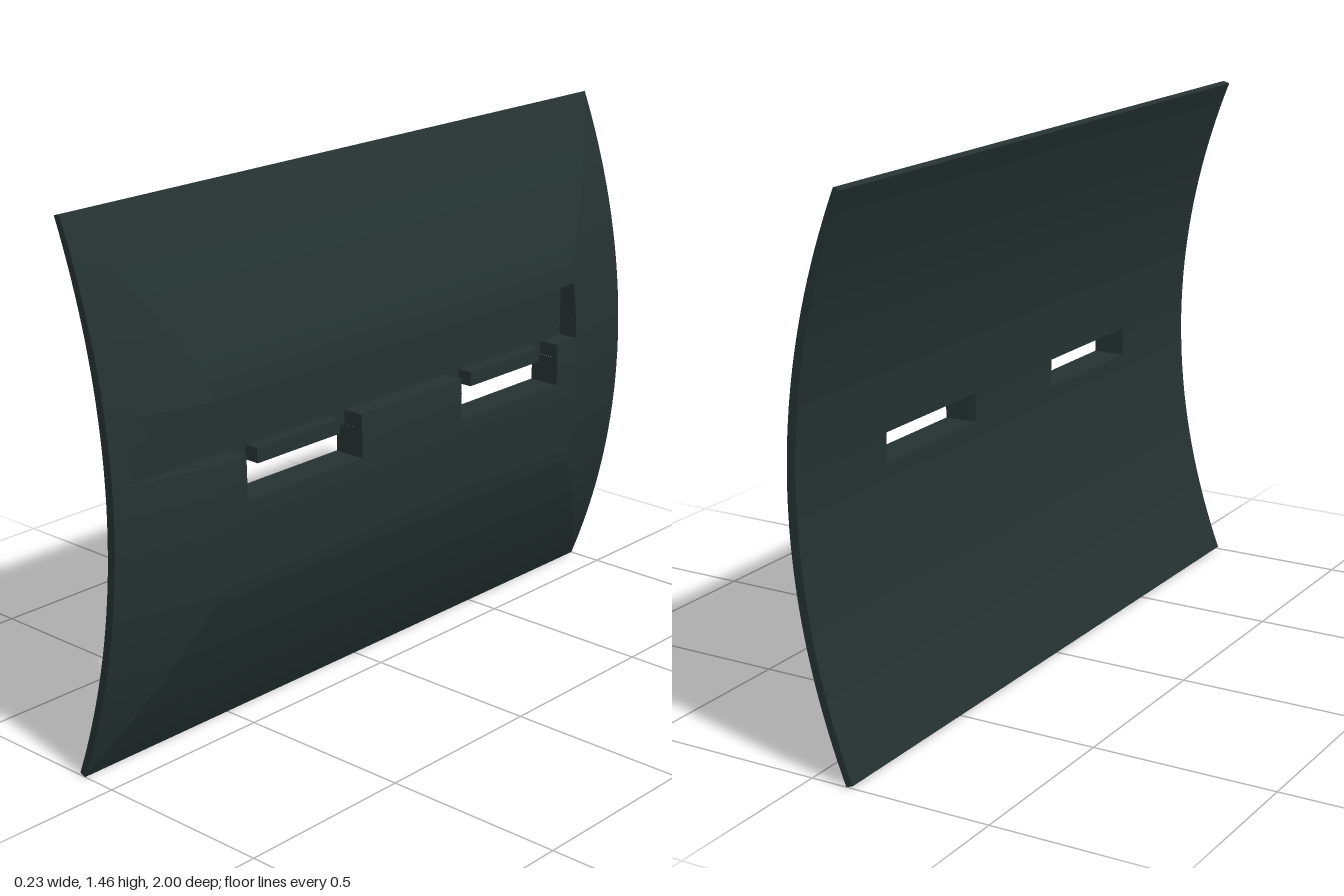
import * as THREE from 'three';
import { toCreasedNormals } from 'three/addons/utils/BufferGeometryUtils.js';

const H = 1.455, MID = H / 2;          // plate height and its middle
const BORDER_Y = 0.435, BORDER_Z = 0.29; // widths of the sloping border
const BULGE = 0.066, FLOOR = 0.053;    // raised thickness, depth of the slot floor
const STEPS = 12;

// Bowed outer skin: a curved rim level plus a bevelled raised field
function outerX(y, z) {
  const t = (y - MID) / MID;
  const rise = Math.min(1, (1 - Math.abs(z)) / BORDER_Z, Math.min(y, H - y) / BORDER_Y);
  return 0.05 - 0.15 * t * t + BULGE * rise;
}

function innerPoint(y, z) {
  const t = (y - MID) / MID;
  return new THREE.Vector3(0.025 - 0.143 * t * t, MID + (y - MID) * 0.992, z);
}

// Kind of plate at a cell centre: open, recess or solid
function kindAt(y, z) {
  const az = Math.abs(z);
  if (y < 0 || y > H || az > 1) return 'open';
  const window = az > 0.2 && az < 0.62;
  if (window && y > 0.69 && y < 0.77) return 'open';
  if (window && y > 0.77 && y < 0.81) return 'recess';
  if (z > -0.71 && y > 0.81 && y < 0.97) return 'recess';
  return 'solid';
}

function surfacePoint(kind, y, z) {
  if (kind === 'open') return innerPoint(y, z);
  const x = outerX(y, z);
  return new THREE.Vector3(kind === 'recess' ? Math.min(x, FLOOR) : x, y, z);
}

function plateGeometry() {
  // Grid lines follow the bevels, the slot and the windows
  const ys = [], zs = [];
  for (let i = 0; i < STEPS; i++) {
    ys.push(BORDER_Y * i / STEPS, H - BORDER_Y * i / STEPS);
    zs.push(-1 + BORDER_Z * i / STEPS, 1 - BORDER_Z * i / STEPS);
  }
  ys.push(BORDER_Y, 0.48, 0.53, 0.58, 0.63, 0.69, 0.73, 0.77, 0.81, 0.85, 0.89, 0.93, 0.97, H - BORDER_Y);
  zs.push(-0.71, -0.62, -0.2, 0.2, 0.62, 0.71);
  ys.sort((a, b) => a - b);
  zs.sort((a, b) => a - b);

  const positions = [];
  const tri = (a, b, c) => {
    const area = b.clone().sub(a).cross(c.clone().sub(a)).length();
    if (area > 1e-8) for (const p of [a, b, c]) positions.push(p.x, p.y, p.z);
  };
  const quad = (a, b, c, d) => { tri(a, b, c); tri(a, c, d); };
  const mid = (list, i) => {
    if (i < 0) return list[0] - 1;
    if (i >= list.length - 1) return list[list.length - 1] + 1;
    return (list[i] + list[i + 1]) / 2;
  };
  const kind = (i, j) => kindAt(mid(ys, i), mid(zs, j));

  for (let i = 0; i < ys.length; i++) {
    for (let j = 0; j < zs.length; j++) {
      const y0 = ys[i], y1 = ys[i + 1], z0 = zs[j], z1 = zs[j + 1];
      const k = kind(i, j);
      // Outer and inner skins, with diagonals along the mitred corners
      if (k !== 'open') {
        const corners = [[y0, z1], [y0, z0], [y1, z0], [y1, z1]];
        if ((mid(ys, i) - MID) * mid(zs, j) > 0) corners.push(corners.shift());
        quad(...corners.map(([y, z]) => surfacePoint(k, y, z)));
        quad(...corners.map(([y, z]) => innerPoint(y, z)).reverse());
      }
      // Walls wherever neighbouring cells differ in height
      if (y1 !== undefined) {
        const n = kind(i, j - 1);
        if (n !== k) quad(surfacePoint(k, y0, z0), surfacePoint(n, y0, z0),
          surfacePoint(n, y1, z0), surfacePoint(k, y1, z0));
      }
      if (z1 !== undefined) {
        const n = kind(i - 1, j);
        if (n !== k) quad(surfacePoint(k, y0, z0), surfacePoint(k, y0, z1),
          surfacePoint(n, y0, z1), surfacePoint(n, y0, z0));
      }
    }
  }
  const geometry = new THREE.BufferGeometry();
  geometry.setAttribute('position', new THREE.Float32BufferAttribute(positions, 3));
  return toCreasedNormals(geometry, THREE.MathUtils.degToRad(5));
}

export function createModel() {
  const model = new THREE.Group();
  model.name = 'curvedPlate';
  const darkMetal = new THREE.MeshStandardMaterial({ color: 0x253232 });
  darkMetal.name = 'darkGreenGrey';

  const plate = new THREE.Mesh(plateGeometry(), darkMetal);
  plate.name = 'plate';
  model.add(plate);

  // Small block above each window
  for (const side of [-1, 1]) {
    const block = new THREE.Mesh(new THREE.BoxGeometry(0.06, 0.04, 0.3), darkMetal);
    block.name = side > 0 ? 'frontWindowBlock' : 'rearWindowBlock';
    block.position.set(0.065, 0.79, side * 0.412);
    model.add(block);
  }
  return model;
}
